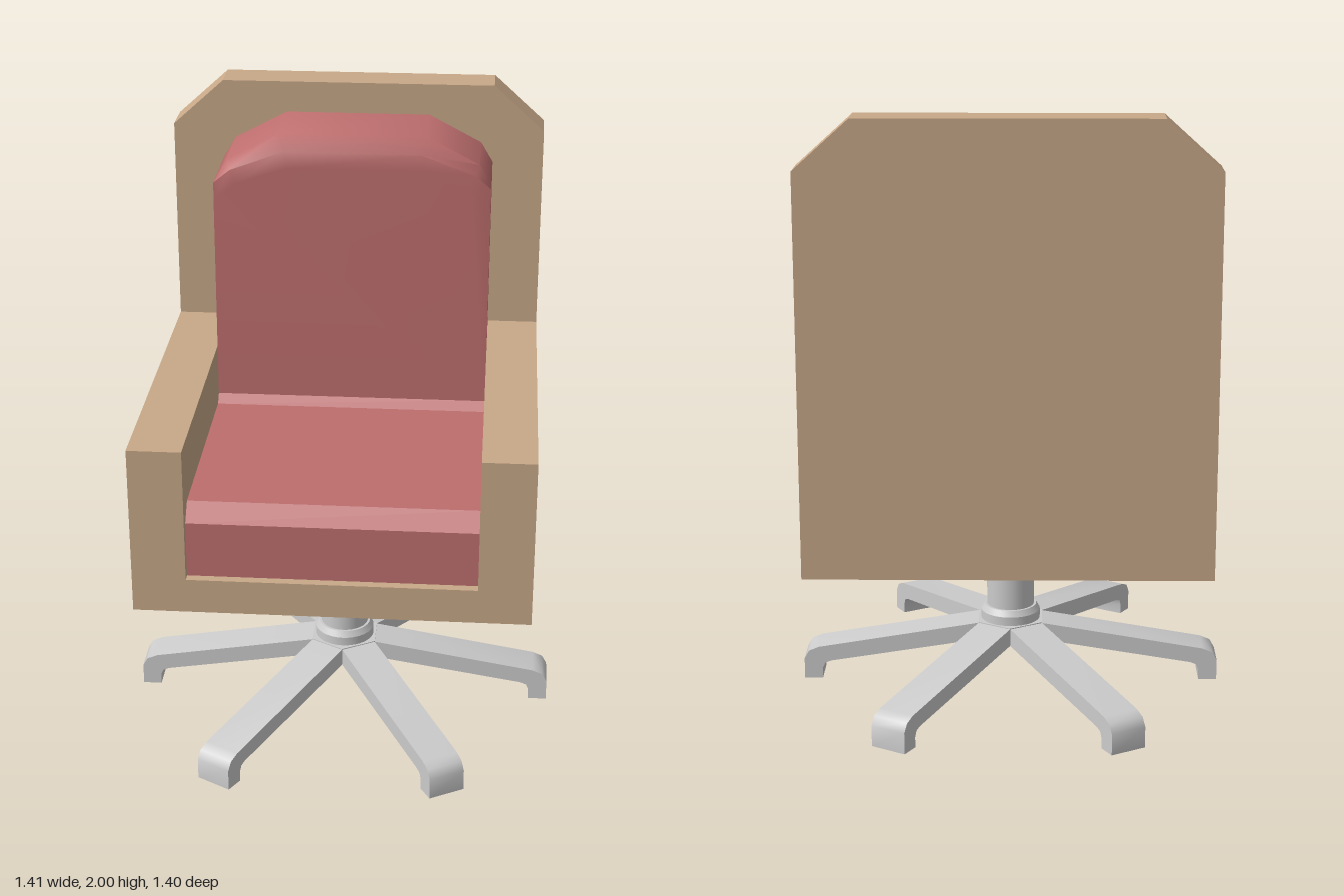
import * as THREE from 'three';
import { toCreasedNormals } from 'three/addons/utils/BufferGeometryUtils.js';

const wood = new THREE.MeshStandardMaterial({ color: 0xc8a888 });
const fabric = new THREE.MeshStandardMaterial({ color: 0xbe6e6e });
const metal = new THREE.MeshStandardMaterial({ color: 0xcccccc });

function add(parent, name, geometry, material) {
  const mesh = new THREE.Mesh(geometry, material);
  mesh.name = name;
  parent.add(mesh);
  return mesh;
}

// Extrudes a 2D outline from z0 to z1
function extrude(points, z0, z1) {
  const shape = new THREE.Shape(points.map(([x, y]) => new THREE.Vector2(x, y)));
  return new THREE.ExtrudeGeometry(shape, { depth: z1 - z0, bevelEnabled: false }).translate(0, 0, z0);
}

// Right half of an outline, bottom to top, mirrored into a closed loop
const mirrored = (half) => [...half, ...half.map(([x, y]) => [-x, y]).reverse()];

// Joins equal-length convex outlines (listed front to back) and caps both ends
function loft(rings) {
  const n = rings[0].points.length;
  const positions = [];
  const index = [];
  for (const { points, z } of rings) for (const [x, y] of points) positions.push(x, y, z);
  for (let r = 0; r < rings.length - 1; r++) {
    for (let i = 0; i < n; i++) {
      const a = r * n + i, b = r * n + (i + 1) % n;
      index.push(a, a + n, b, b, a + n, b + n);
    }
  }
  const last = (rings.length - 1) * n;
  for (let i = 1; i < n - 1; i++) {
    index.push(0, i, i + 1);
    index.push(last, last + i + 1, last + i);
  }
  const geometry = new THREE.BufferGeometry();
  geometry.setAttribute('position', new THREE.Float32BufferAttribute(positions, 3));
  geometry.setIndex(index);
  return toCreasedNormals(geometry, 0.9);
}

// Sloping leg with a rounded knee and a short foot, running along +x
function legGeometry(reach) {
  const profile = [
    [0.09, 0.145], [reach - 0.09, 0.062], [reach - 0.07, 0.054], [reach - 0.062, 0.035],
    [reach - 0.062, 0], [reach, 0], [reach, 0.07], [reach - 0.016, 0.098],
    [reach - 0.05, 0.112], [0.09, 0.205],
  ];
  return toCreasedNormals(extrude(profile, -0.062, 0.062), 0.75);
}

export function createModel() {
  const chair = new THREE.Group();
  chair.name = 'swivelArmchair';

  // Wooden shell: U-shaped tub with arms, and tall back with clipped corners
  const shell = new THREE.Group();
  shell.name = 'shell';
  chair.add(shell);
  add(shell, 'armsAndSeatPan', extrude(mirrored([
    [0.632, 0.59], [0.632, 1.15], [0.46, 1.15], [0.46, 0.705],
  ]), -0.57, 0.58), wood);
  add(shell, 'backPanel', extrude(mirrored([
    [0.632, 0.59], [0.632, 1.845], [0.46, 2],
  ]), -0.705, -0.57), wood);

  // Seat cushion: side profile (z, y) swept across the width
  const seat = extrude([
    [-0.57, 0.7], [0.55, 0.7], [0.55, 0.89], [0.5, 0.945],
    [-0.24, 0.945], [-0.27, 0.975], [-0.57, 0.975],
  ], -0.46, 0.46).rotateY(-Math.PI / 2);
  add(chair, 'seatCushion', seat, fabric);

  // Back cushion: softened front edge around the top
  const inner = mirrored([[0.46, 0.97], [0.46, 1.64], [0.455, 1.68], [0.385, 1.735], [0.215, 1.79]]);
  const front = mirrored([[0.46, 0.97], [0.46, 1.69], [0.46, 1.735], [0.405, 1.78], [0.23, 1.845]]);
  const full = mirrored([[0.46, 0.97], [0.46, 1.69], [0.46, 1.735], [0.42, 1.802], [0.243, 1.895]]);
  add(chair, 'backCushion', loft([
    { points: inner, z: -0.268 },
    { points: front, z: -0.27 },
    { points: full, z: -0.32 },
    { points: full, z: -0.57 },
  ]), fabric);

  // Swivel base: column, collar, hexagonal hub and six legs
  const base = new THREE.Group();
  base.name = 'swivelBase';
  base.position.z = 0.01;
  chair.add(base);
  add(base, 'column', new THREE.CylinderGeometry(0.08, 0.08, 0.39, 32, 1, true), metal).position.y = 0.4;
  const collarProfile = [[0.1, 0.2], [0.1, 0.235], [0.088, 0.255], [0.079, 0.255]]
    .map(([r, y]) => new THREE.Vector2(r, y));
  add(base, 'collar', toCreasedNormals(new THREE.LatheGeometry(collarProfile, 32), 0.5), metal);
  const hub = new THREE.CylinderGeometry(0.125, 0.125, 0.06, 6).toNonIndexed();
  hub.computeVertexNormals();
  add(base, 'hub', hub, metal).position.y = 0.175;
  const sideLeg = legGeometry(0.705);
  const diagonalLeg = legGeometry(0.758);
  for (let i = 0; i < 6; i++) {
    const leg = add(base, 'leg' + (i + 1), i % 3 === 0 ? sideLeg : diagonalLeg, metal);
    leg.rotation.y = i * Math.PI / 3;
  }

  return chair;
}
